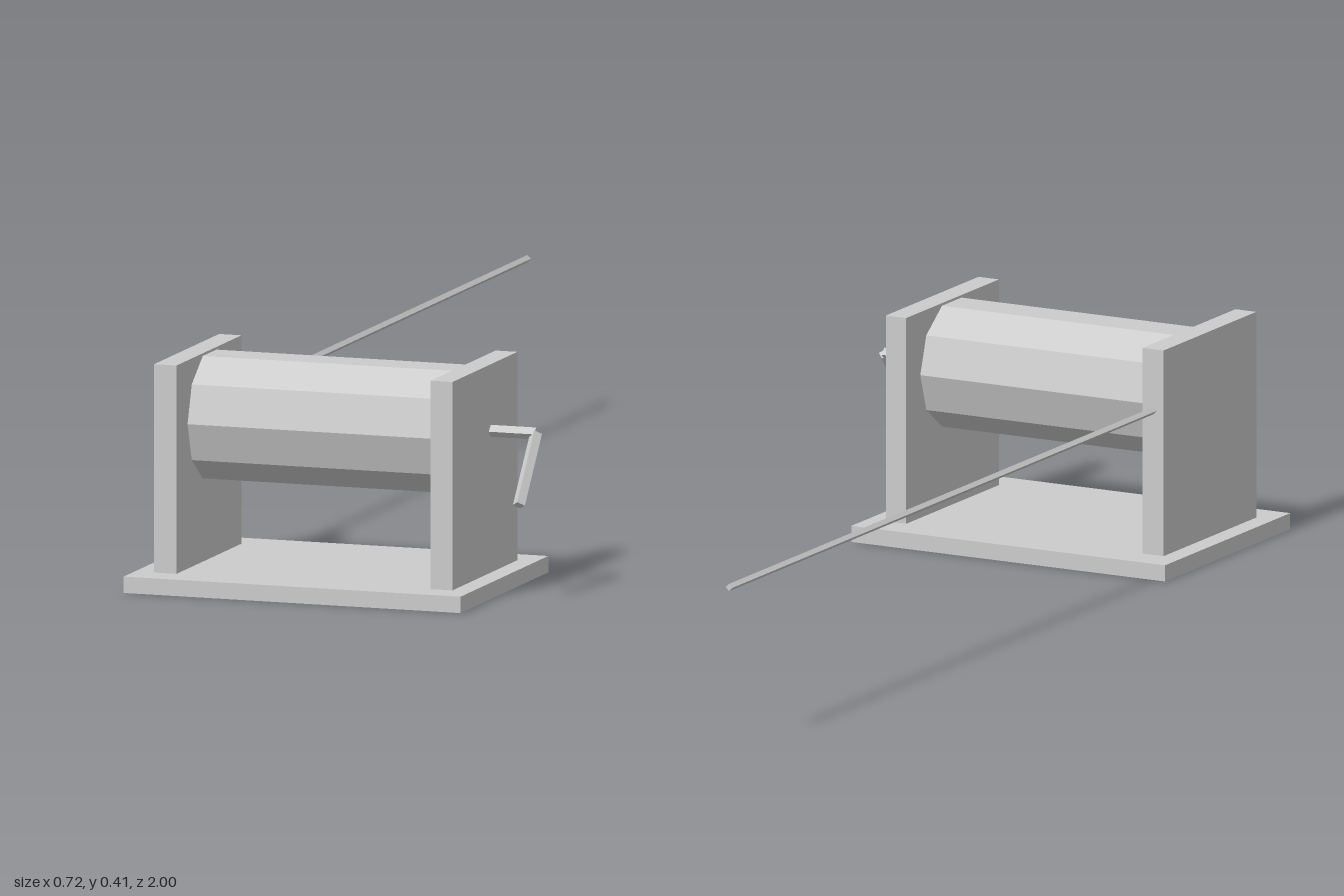
import * as THREE from 'three';

export function createModel() {
  const model = new THREE.Group();
  const grey = new THREE.MeshStandardMaterial({ color: 0xcccccc, flatShading: true });
  grey.name = 'plain grey';

  const add = (name, geometry) => {
    const mesh = new THREE.Mesh(geometry, grey);
    mesh.name = name;
    model.add(mesh);
  };

  // Box given by its lower and upper corners
  const box = (name, [x0, y0, z0], [x1, y1, z1]) => add(name,
    new THREE.BoxGeometry(x1 - x0, y1 - y0, z1 - z0)
      .translate((x0 + x1) / 2, (y0 + y1) / 2, (z0 + z1) / 2));

  // Faceted bar between two points
  const bar = (name, from, to, radius, sides) => {
    const a = new THREE.Vector3(...from), b = new THREE.Vector3(...to);
    const d = b.clone().sub(a);
    const g = new THREE.CylinderGeometry(radius, radius, d.length(), sides);
    if (d.x) g.rotateZ(-Math.PI / 2);
    else g.rotateX(Math.atan2(d.z, d.y));
    const mid = a.add(b).multiplyScalar(0.5);
    add(name, g.translate(mid.x, mid.y, mid.z));
  };

  const axisY = 0.295, axisZ = 0.763;

  // Base and the two side panels
  box('base', [-0.36, 0, 0.53], [0.287, 0.03, 1]);
  box('rightPanel', [-0.323, 0.03, 0.592], [-0.28, 0.412, 0.94]);
  box('leftPanel', [0.208, 0.03, 0.592], [0.25, 0.412, 0.94]);

  // Ten-sided drum
  bar('drum', [-0.28, axisY, axisZ], [0.208, axisY, axisZ], 0.118, 10);

  // Crank on the left side
  bar('crankAxle', [0.26, axisY, axisZ], [0.347, axisY, axisZ], 0.011, 4);
  bar('crankArm', [0.347, axisY, axisZ], [0.347, 0.178, 0.855], 0.0115, 4);

  // Long rod leaving the back of the right panel
  bar('rod', [-0.302, 0.298, 0.6], [-0.302, 0.298, -1], 0.0068, 4);

  return model;
}
